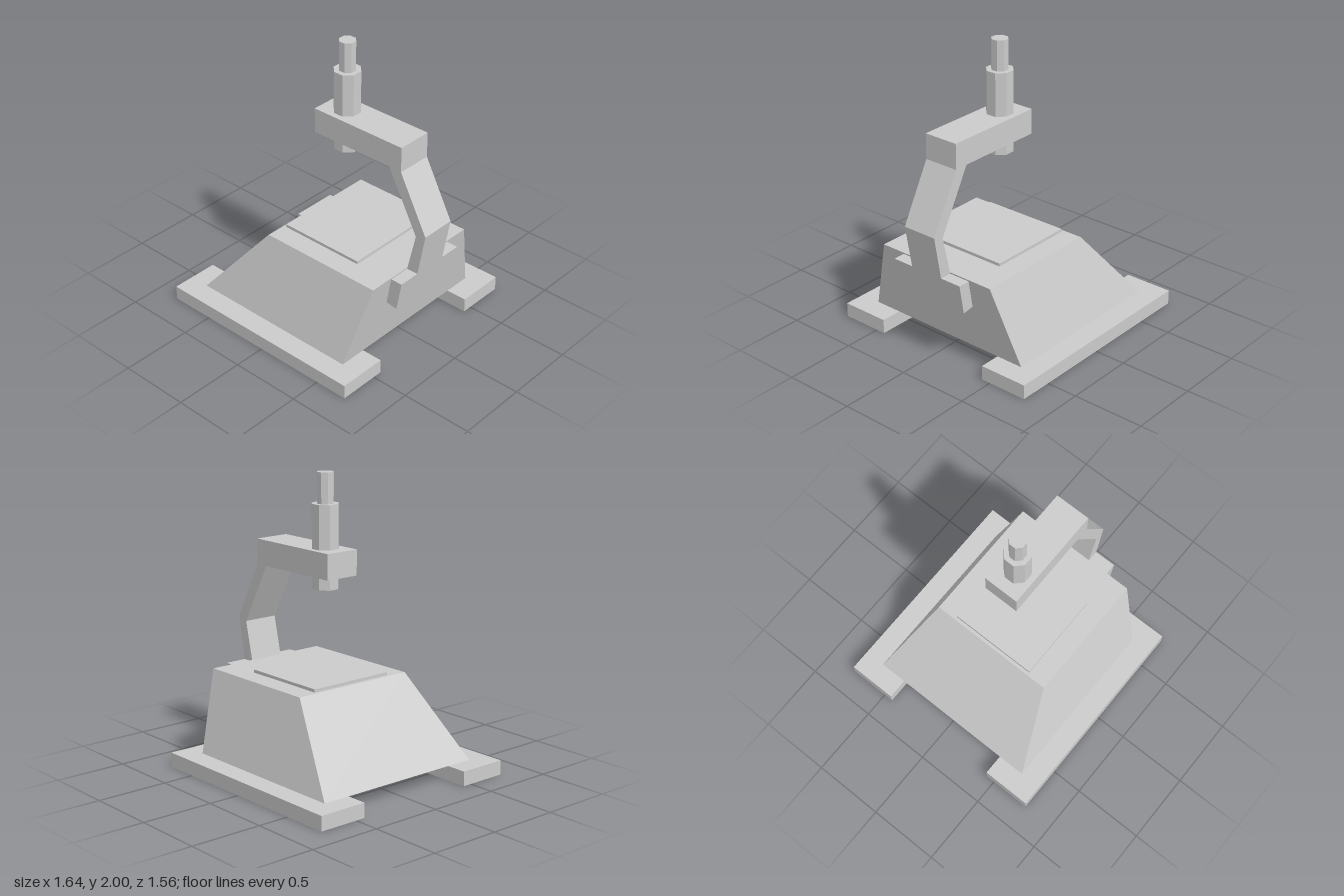
import * as THREE from 'three';

const material = new THREE.MeshStandardMaterial({ color: 0xcccccc, flatShading: true });

export function createModel() {
  const model = new THREE.Group();
  model.name = 'benchPress';

  const add = (name, geometry, x = 0, y = 0, z = 0) => {
    const mesh = new THREE.Mesh(geometry, material);
    mesh.name = name;
    mesh.position.set(x, y, z);
    model.add(mesh);
    return mesh;
  };

  // Side outline extruded symmetrically across z
  const slab = (points, width) => {
    const shape = new THREE.Shape(points.map(([x, y]) => new THREE.Vector2(x, y)));
    return new THREE.ExtrudeGeometry(shape, { depth: width, bevelEnabled: false })
      .translate(0, 0, -width / 2);
  };

  // Two foot rails
  for (const side of [1, -1]) {
    add(side > 0 ? 'frontRail' : 'backRail',
      new THREE.BoxGeometry(1.555, 0.1, 0.345), -0.0425, 0.05, side * 0.607);
  }

  // Tapered body: a slanted outline whose sides lean in towards the top
  const bottom = 0.1, top = 0.64;
  const body = slab([[-0.675, bottom], [0.585, bottom], [0.682, top], [-0.23, top]], 2);
  const pos = body.attributes.position;
  for (let i = 0; i < pos.count; i++) {
    const t = (pos.getY(i) - bottom) / (top - bottom);
    pos.setZ(i, pos.getZ(i) * THREE.MathUtils.lerp(0.63, 0.456, t));
  }
  body.computeVertexNormals();
  add('body', body);

  // Raised work plate on top
  add('workPlate', new THREE.BoxGeometry(0.63, 0.03, 0.626), 0.107, 0.646, 0);

  // Bent arm
  add('arm', slab([
    [0.68, 0.63], [0.765, 0.63], [0.819, 0.933], [0.61, 1.325], [0.61, 1.5],
    [-0.115, 1.5], [-0.115, 1.327], [0.515, 1.327], [0.743, 0.905],
  ], 0.25));

  // Wide bracket holding the arm to the sloping end of the body
  add('armBracket', slab([[0.68, 0.63], [0.645, 0.433], [0.728, 0.42], [0.765, 0.63]], 0.56));

  // Octagonal spindle sleeve and stem
  const octagon = (flat, height) =>
    new THREE.CylinderGeometry(1, 1, height, 8).rotateY(Math.PI / 8)
      .scale(flat / Math.cos(Math.PI / 8), 1, flat / Math.cos(Math.PI / 8));
  add('spindleSleeve', octagon(0.085, 0.56), 0.052, 1.515, 0);
  add('spindleStem', octagon(0.053, 0.21), 0.052, 1.895, 0);

  return model;
}
